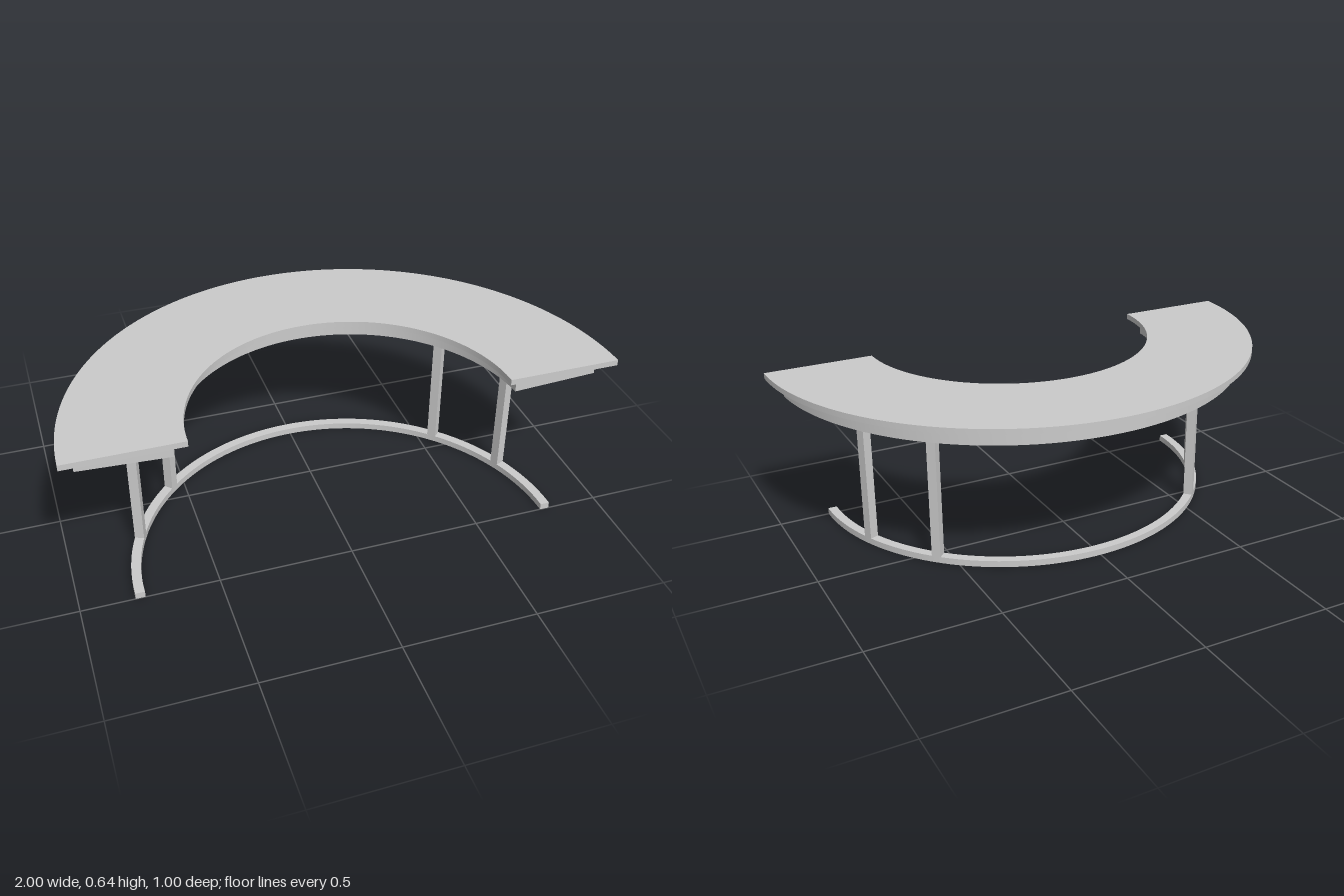
import * as THREE from 'three';
import { toCreasedNormals } from 'three/addons/utils/BufferGeometryUtils.js';

const CENTRE_Z = 0.5; // centre of all the arcs
const material = new THREE.MeshStandardMaterial({ color: 0xcccccc });

// Flat half ring from y0 to y1; trim is the angle cut off each end
function halfRing(name, inner, outer, y0, y1, trim = 0) {
  const shape = new THREE.Shape();
  shape.absarc(0, 0, outer, trim, Math.PI - trim, false);
  shape.absarc(0, 0, inner, Math.PI - trim, trim, true);
  shape.closePath();
  const geometry = new THREE.ExtrudeGeometry(shape, {
    depth: y1 - y0, bevelEnabled: false, curveSegments: 48,
  });
  geometry.rotateX(-Math.PI / 2);
  const mesh = new THREE.Mesh(toCreasedNormals(geometry, 0.5), material);
  mesh.name = name;
  mesh.position.set(0, y0, CENTRE_Z);
  return mesh;
}

export function createModel() {
  const group = new THREE.Group();
  group.name = 'curvedTable';

  // Top, apron set in below it, and floor rail
  group.add(halfRing('tableTop', 0.578, 1, 0.615, 0.637));
  group.add(halfRing('apron', 0.622, 0.95, 0.555, 0.615, 0.063));
  group.add(halfRing('floorRail', 0.77, 0.805, 0, 0.025));

  // Square legs, turned to follow the rail, two on each side
  const legRadius = 0.7875, legBottom = 0.025, legTop = 0.555;
  const legGeometry = new THREE.BoxGeometry(0.035, legTop - legBottom, 0.035);
  for (const degrees of [22.5, 45, 135, 157.5]) {
    const angle = THREE.MathUtils.degToRad(degrees);
    const leg = new THREE.Mesh(legGeometry, material);
    leg.name = degrees < 90 ? 'leftLeg' : 'rightLeg';
    leg.position.set(
      legRadius * Math.cos(angle),
      (legBottom + legTop) / 2,
      CENTRE_Z - legRadius * Math.sin(angle),
    );
    leg.rotation.y = angle;
    group.add(leg);
  }
  return group;
}
